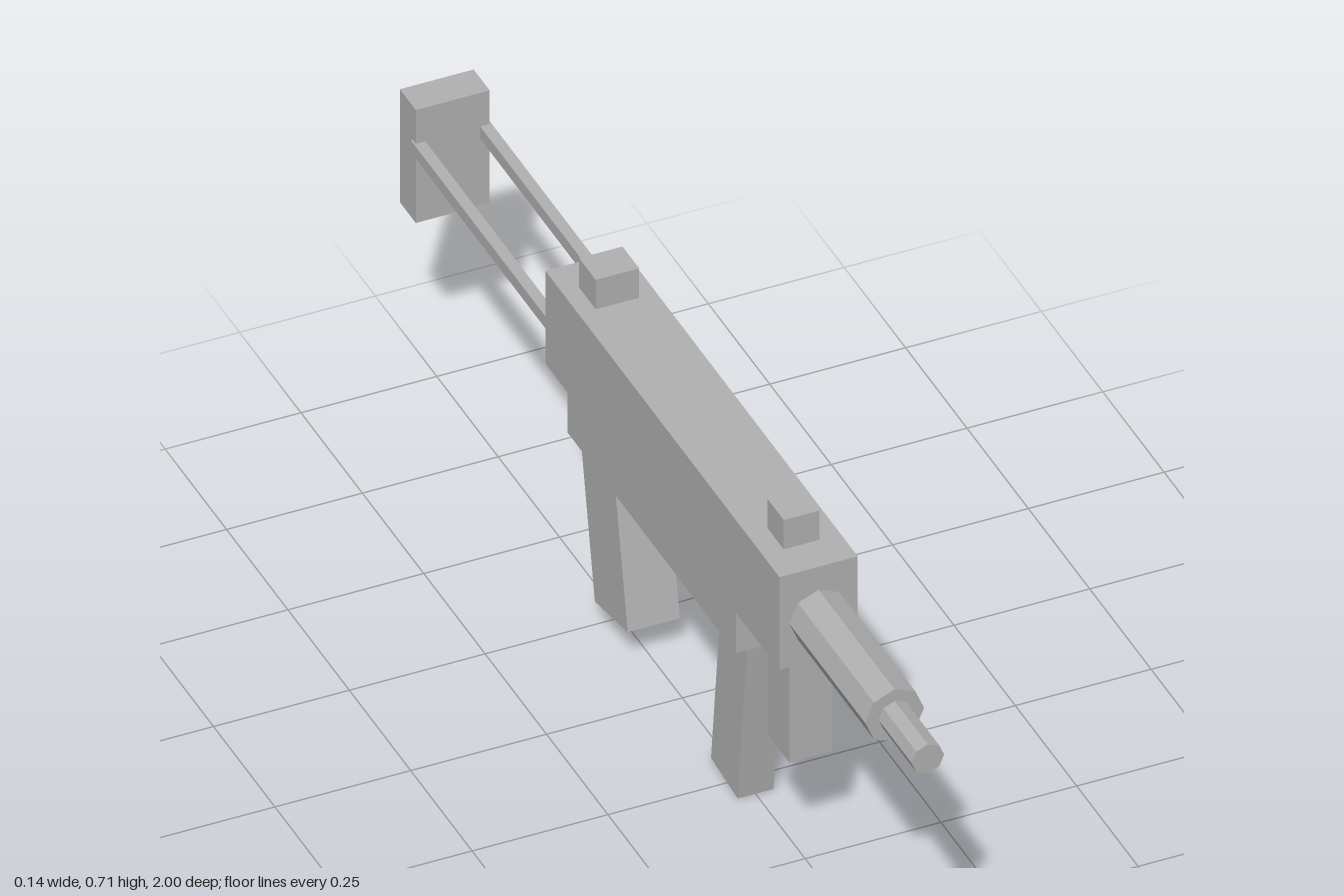
import * as THREE from 'three';

export function createModel() {
  const model = new THREE.Group();
  const grey = new THREE.MeshStandardMaterial({ color: 0xb0b0b0 });
  grey.name = 'matte grey';

  function add(name, geometry) {
    const mesh = new THREE.Mesh(geometry, grey);
    mesh.name = name;
    model.add(mesh);
    return mesh;
  }

  // Box from a centre x, half width and ranges in y and z
  function block(name, x, half, [y0, y1], [z0, z1]) {
    const mesh = add(name, new THREE.BoxGeometry(half * 2, y1 - y0, z1 - z0));
    mesh.position.set(x, (y0 + y1) / 2, (z0 + z1) / 2);
  }

  // Box leaning from the middle of its bottom face
  function leaning(name, half, height, depth, y, z, tilt) {
    const geometry = new THREE.BoxGeometry(half * 2, height, depth).translate(0, height / 2, 0);
    const mesh = add(name, geometry);
    mesh.position.set(0, y, z);
    mesh.rotation.x = tilt;
  }

  // Eight-sided rod along z, with a corner on top
  function rod(name, radius, z0, z1) {
    const geometry = new THREE.CylinderGeometry(radius, radius, z1 - z0, 8).rotateX(Math.PI / 2);
    const flat = geometry.toNonIndexed();
    flat.computeVertexNormals();
    add(name, flat).position.set(0, 0.544, (z0 + z1) / 2);
  }

  // Body
  block('upperBody', 0, 0.072, [0.453, 0.646], [-0.398, 0.555]);
  block('lowerBody', 0, 0.061, [0.35, 0.453], [-0.332, 0.354]);

  // Barrel
  rod('barrelSleeve', 0.054, 0.555, 0.865);
  rod('barrelTip', 0.03, 0.865, 1);

  // Sights
  block('frontSight', 0, 0.033, [0.646, 0.707], [0.42, 0.486]);
  block('rearSight', 0, 0.04, [0.646, 0.707], [-0.332, -0.264]);

  // Grips and magazine
  block('foregrip', 0, 0.04, [0.23, 0.453], [0.438, 0.524]);
  leaning('magazine', 0.033, 0.37, 0.109, 0.008, 0.244, 0.115);
  leaning('rearGrip', 0.048, 0.32, 0.136, 0.0625, -0.183, -0.19);

  // Stock
  for (const [side, name] of [[1, 'leftStockRail'], [-1, 'rightStockRail']]) {
    block(name, side * 0.061, 0.0105, [0.525, 0.55], [-0.948, -0.398]);
  }
  block('buttPlate', 0, 0.068, [0.385, 0.62], [-1, -0.935]);

  return model;
}
